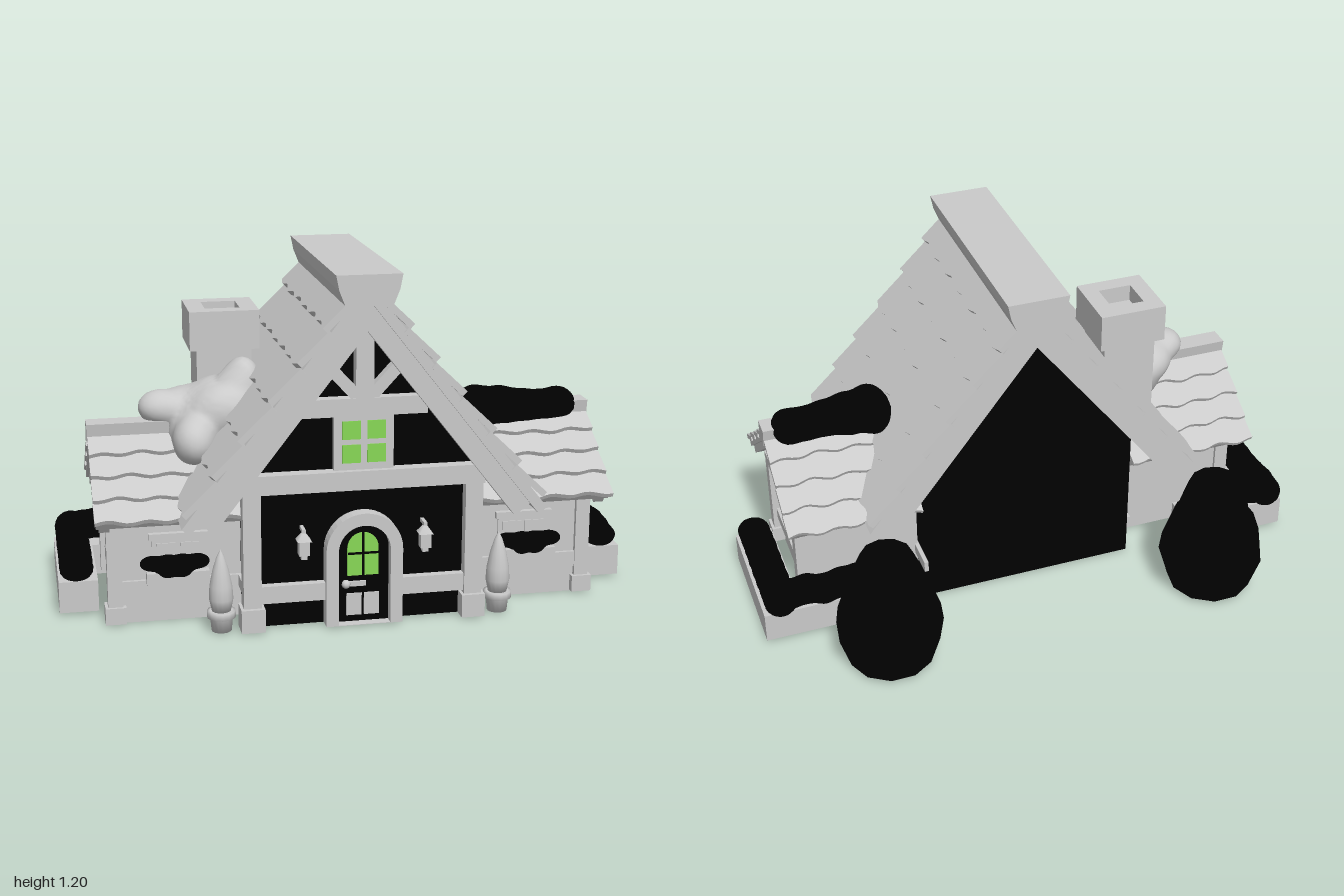
import * as THREE from 'three';
import { mergeVertices } from 'three/addons/utils/BufferGeometryUtils.js';

const V = (x, y, z) => new THREE.Vector3(x, y, z);

export function createModel() {
  const model = new THREE.Group();
  const mat = (name, color) => {
    const m = new THREE.MeshStandardMaterial({ color, side: THREE.DoubleSide });
    m.name = name;
    return m;
  };
  const stone = mat('pale grey', 0xcacaca);
  const black = mat('black', 0x010101);
  const green = mat('window green', 0x88d856);

  const add = (name, geo, material = stone) => {
    const mesh = new THREE.Mesh(geo, material);
    mesh.name = name;
    model.add(mesh);
    return mesh;
  };
  // Box given by its minimum and maximum along each axis
  const box = (name, x0, x1, y0, y1, z0, z1, material) => {
    const m = add(name, new THREE.BoxGeometry(Math.abs(x1 - x0), y1 - y0, z1 - z0), material);
    m.position.set((x0 + x1) / 2, (y0 + y1) / 2, (z0 + z1) / 2);
    return m;
  };
  // Drop the faces that lie flat on the lowest level of a mesh
  const openBottom = (mesh) => {
    const g = mesh.geometry.index ? mesh.geometry.toNonIndexed() : mesh.geometry.clone();
    g.computeBoundingBox();
    const p = g.attributes.position, low = g.boundingBox.min.y + 1e-5, keep = [];
    for (let i = 0; i < p.count; i += 3)
      if (p.getY(i) > low || p.getY(i + 1) > low || p.getY(i + 2) > low) keep.push(i, i + 1, i + 2);
    g.clearGroups();
    g.setIndex(keep);
    mesh.geometry = g;
  };
  const toShape = (pts) => new THREE.Shape(pts.map((p) => new THREE.Vector2(p[0], p[1])));
  const extrude = (shape, depth) =>
    new THREE.ExtrudeGeometry(shape, { depth, bevelEnabled: false, curveSegments: 10 });
  // Prism along z, or along x around the wing's centre line
  const WZ = 0.163;
  const prism = (name, shape, a, b, axis, material) => {
    const m = add(name, extrude(shape, b - a), material);
    if (axis === 'x') {
      m.rotation.y = Math.PI / 2;
      m.position.set(a, 0, WZ);
    } else m.position.z = a;
    return m;
  };
  // Gable band between two offsets below the roof line
  const chevron = (apex, slope, ex, d1, d2) => {
    const l = Math.hypot(1, slope), nx = slope / l, ny = 1 / l;
    const end = (d) => [ex - nx * d, apex - slope * ex - ny * d];
    const [ox, oy] = end(d1), [ix, iy] = end(d2);
    return toShape([[0, apex - d1 / ny], [-ox, oy], [-ix, iy], [0, apex - d2 / ny], [ix, iy], [ox, oy]]);
  };
  // Overlapping rows of tiles with wavy lower edges
  const tiles = (name, origin, up, normal, length, slopeLen, rows, lift, phase) => {
    const group = new THREE.Group();
    group.name = name;
    const right = V().crossVectors(up, normal);
    group.applyMatrix4(new THREE.Matrix4().makeBasis(right, up, normal).setPosition(origin));
    const h = slopeLen / rows, n = Math.round(length * 50);
    for (let r = 0; r < rows; r++) {
      const pts = [[length / 2, 0], [-length / 2, 0]];
      for (let i = 0; i <= n; i++) {
        const u = -length / 2 + (length * i) / n;
        pts.push([u, -h - 0.007 * Math.cos(u * 48 + r * 2.1 + phase) - 0.003 * Math.sin(u * 21 + r)]);
      }
      const row = new THREE.Mesh(extrude(toShape(pts), lift), stone);
      row.name = 'tileRow';
      row.position.set(0, -r * h, -lift);
      row.rotation.x = -Math.atan(lift / h);
      group.add(row);
    }
    model.add(group);
  };
  // Soft mass around blended ellipsoids [x, y, z, rx, ry, rz], found by marching inwards
  const mass = (name, list, material) => {
    const bounds = new THREE.Box3();
    for (const [x, y, z, a, b, c] of list) bounds.expandByPoint(V(x - a, y - b, z - c)).expandByPoint(V(x + a, y + b, z + c));
    const mid = bounds.getCenter(V()), half = bounds.getSize(V()).multiplyScalar(0.5);
    const inside = (p) => list.reduce((sum, [x, y, z, a, b, c]) =>
      sum + Math.exp(3 * (1 - ((p.x - x) / a) ** 2 - ((p.y - y) / b) ** 2 - ((p.z - z) / c) ** 2)), 0) > 1;
    let g = new THREE.IcosahedronGeometry(1, 12);
    g.deleteAttribute('normal');
    g.deleteAttribute('uv');
    g = mergeVertices(g);
    const pos = g.attributes.position;
    for (let i = 0; i < pos.count; i++) {
      const dir = V().fromBufferAttribute(pos, i).multiply(half), p = V();
      let t = 1.8;
      do p.copy(mid).addScaledVector(dir, t); while (!inside(p) && (t -= 0.01) > 0.05);
      pos.setXYZ(i, p.x, p.y, p.z);
    }
    g.computeVertexNormals();
    add(name, g, material);
  };
  // Straight timber between two points of a front facing plane
  const brace = (name, x0, y0, x1, y1, w, z0, z1) => {
    const m = add(name, new THREE.BoxGeometry(Math.hypot(x1 - x0, y1 - y0), w, z1 - z0));
    m.position.set((x0 + x1) / 2, (y0 + y1) / 2, (z0 + z1) / 2);
    m.rotation.z = Math.atan2(y1 - y0, x1 - x0);
  };

  // Main house body and roof
  const A = 1.18, K = 1.2816;
  openBottom(prism('houseBody', toShape([[-0.385, 0.01], [0.385, 0.01], [0.385, 0.587], [0, 1.08], [-0.385, 0.587]]), -0.165, 0.5, 'z', black));
  prism('roofDeck', chevron(A, K, 0.61, 0, 0.035), -0.235, 0.595, 'z');
  prism('frontBargeBoard', chevron(A, K, 0.583, 0.03, 0.1), 0.525, 0.58, 'z');
  prism('backBargeBoard', chevron(A, K, 0.583, 0.03, 0.1), -0.225, -0.17, 'z');
  prism('ridgeCap', toShape([[-0.078, 1.105], [0.078, 1.105], [0.098, 1.155], [0.108, 1.205], [-0.108, 1.205], [-0.098, 1.155]]), -0.24, 0.602, 'z');
  for (const s of [-1, 1])
    tiles('mainRoofTiles', V(s * 0.038, 1.146, 0.18), V(-s * 0.6154, 0.7882, 0), V(s * 0.7882, 0.6154, 0), 0.84, 0.905, 6, 0.022, s);

  // Front timber framing
  box('middleBeam', -0.41, 0.41, 0.48, 0.545, 0.48, 0.545);
  box('upperBeam', -0.21, 0.21, 0.73, 0.79, 0.48, 0.54);
  box('kingPost', -0.03, 0.03, 0.78, 1.04, 0.48, 0.54);
  for (const s of [-1, 1]) {
    brace('gableBrace', s * 0.02, 0.79, s * 0.14, 0.92, 0.04, 0.49, 0.535);
    box('frontPost', s * 0.345, s * 0.405, 0.08, 0.49, 0.485, 0.54);
    box('frontPostBase', s * 0.335, s * 0.415, 0.01, 0.09, 0.475, 0.555);
    box('lowBeam', s * 0.12, s * 0.35, 0.1, 0.16, 0.49, 0.53);
    box('sideLowBeam', s * 0.375, s * 0.4, 0.115, 0.155, -0.16, 0.5);
  }

  // Upper window
  box('upperWindowFrame', -0.1, 0.1, 0.545, 0.73, 0.49, 0.525);
  for (const x of [-0.042, 0.042]) for (const y of [0.6, 0.68])
    box('upperWindowPane', x - 0.031, x + 0.031, y - 0.031, y + 0.031, 0.52, 0.528, green);

  // Arched front door
  const arch = (r, y0, top) => {
    const s = new THREE.Shape();
    s.moveTo(r, y0);
    s.lineTo(r, top);
    s.absarc(0, top, r, 0, Math.PI, false);
    s.lineTo(-r, y0);
    return s;
  };
  const frame = arch(0.13, 0.01, 0.27);
  frame.holes.push(arch(0.088, 0.012, 0.27));
  prism('doorFrame', frame, 0.49, 0.55, 'z');
  prism('door', arch(0.088, 0.012, 0.27), 0.49, 0.515, 'z', black);
  for (const z of [0.484, 0.514]) prism('doorGlass', arch(0.053, 0.175, 0.272), z, z + 0.006, 'z', green);
  box('glassBarUpright', -0.004, 0.004, 0.175, 0.325, 0.517, 0.524, black);
  box('glassBarAcross', -0.052, 0.052, 0.25, 0.257, 0.517, 0.524, black);
  for (const x of [-0.03, 0.03]) box('doorPanel', x - 0.026, x + 0.026, 0.035, 0.112, 0.51, 0.52);
  box('doorHandle', -0.06, 0.01, 0.138, 0.155, 0.51, 0.524);
  add('doorKnob', new THREE.SphereGeometry(0.015, 10, 8)).position.set(-0.06, 0.15, 0.53);

  // Chimney with a hollow square cap
  box('chimneyStack', -0.495, -0.305, 0.55, 0.9, -0.085, 0.1);
  const cap = toShape([[-0.12, -0.118], [0.12, -0.118], [0.12, 0.118], [-0.12, 0.118]]);
  cap.holes.push(new THREE.Path([[-0.06, -0.06], [-0.06, 0.06], [0.06, 0.06], [0.06, -0.06]].map((p) => new THREE.Vector2(...p))));
  const capMesh = add('chimneyCap', extrude(cap, 0.135));
  capMesh.rotation.x = -Math.PI / 2;
  capMesh.position.set(-0.4, 0.875, 0.007);
  box('chimneyFloor', -0.47, -0.33, 0.88, 0.95, -0.06, 0.075);

  // Growth on the roofs
  mass('roofMound', [
    [-0.35, 0.76, 0.17, 0.07, 0.1, 0.08], [-0.42, 0.69, 0.14, 0.11, 0.1, 0.13],
    [-0.48, 0.64, 0.13, 0.11, 0.11, 0.15], [-0.53, 0.59, 0.15, 0.08, 0.085, 0.12],
    [-0.55, 0.67, 0.1, 0.09, 0.075, 0.1], [-0.63, 0.69, 0.14, 0.075, 0.06, 0.07],
    [-0.53, 0.6, 0.28, 0.07, 0.08, 0.085], [-0.41, 0.69, 0.23, 0.1, 0.08, 0.07]]);
  mass('roofBush', [
    [0.485, 0.64, 0.16, 0.07, 0.075, 0.12], [0.57, 0.64, 0.16, 0.075, 0.07, 0.095],
    [0.65, 0.635, 0.165, 0.08, 0.062, 0.075], [0.73, 0.63, 0.16, 0.075, 0.06, 0.068],
    [0.79, 0.64, 0.15, 0.058, 0.055, 0.08]], black);

  for (const s of [-1, 1]) {
    const span = (a, b) => (s > 0 ? [a, b] : [-b, -a]);
    // Side wing walls and roof
    openBottom(prism('wingBody', toShape([[-0.205, 0.005], [0.205, 0.005], [0.205, 0.41], [0, 0.57], [-0.205, 0.41]]), ...span(0.39, 0.805), 'x'));
    prism('wingRoofDeck', chevron(0.633, 0.754, 0.315, 0, 0.03), ...span(0.4, 0.875), 'x');
    prism('wingBargeBoard', chevron(0.633, 0.754, 0.31, 0.02, 0.058), ...span(0.83, 0.865), 'x');
    prism('wingRidgeCap', toShape([[-0.028, 0.59], [0.028, 0.59], [0.038, 0.655], [-0.038, 0.655]]), ...span(0.38, 0.882), 'x');
    for (const z of [-1, 1])
      tiles('wingRoofTiles', V(s * 0.64, 0.615, WZ + z * 0.025), V(0, 0.602, -z * 0.7984), V(0, 0.7984, z * 0.602), 0.48, 0.375, 4, 0.016, s + z);
    box('wingTieBeam', s * 0.79, s * 0.84, 0.36, 0.39, -0.06, 0.39);
    box('wingKingPost', s * 0.79, s * 0.835, 0.38, 0.58, WZ - 0.022, WZ + 0.022);
    for (const z of [-0.03, 0.36]) {
      box('wingPost', s * 0.79, s * 0.84, 0.06, 0.385, z - 0.024, z + 0.024);
      if (z > 0) box('wingPostBase', s * 0.78, s * 0.85, 0.01, 0.068, z - 0.034, z + 0.034);
    }
    box('wingEndBeam', s * 0.8, s * 0.825, 0.115, 0.155, -0.03, 0.36);
    box('wingFrontBeam', s * 0.4, s * 0.8, 0.1, 0.155, 0.36, 0.38);

    // End window
    box('endWindowFrame', s * 0.8, s * 0.818, 0.17, 0.29, 0.115, 0.21);
    box('endWindowLintel', s * 0.8, s * 0.83, 0.283, 0.3, 0.1, 0.226);
    for (const y of [0.18, 0.236]) box('endWindowPane', s * 0.813, s * 0.821, y, y + 0.045, 0.13, 0.195, green);

    // Front wing window with its flower box
    box('wingWindowFrame', s * 0.51, s * 0.69, 0.16, 0.295, 0.36, 0.376);
    box('wingWindowLintel', s * 0.5, s * 0.7, 0.295, 0.318, 0.36, 0.388);
    for (const x of [0.56, 0.64]) box('wingWindowPane', s * (x - 0.034), s * (x + 0.034), 0.19, 0.282, 0.371, 0.38);
    box('flowerBox', s * 0.5, s * 0.71, 0.145, 0.185, 0.36, 0.405);
    mass('flowerBoxPlants', [0.54, 0.59, 0.64, 0.69].map((x, i) => [s * x, i % 3 ? 0.203 : 0.217, 0.39, 0.042, i % 3 ? 0.042 : 0.026, 0.028]), black);

    // Corner planter and hedge
    openBottom(box('planterSide', s * 0.865, s * 0.998, 0.015, 0.125, -0.215, 0.265));
    openBottom(box('planterBack', s * 0.6, s * 0.865, 0.015, 0.125, -0.215, -0.1));
    const tops = [0.018, 0.03, 0.036, 0.03, 0.028, 0.034, 0.045, 0.038];
    mass('sideHedge', tops.map((t, i) => [s * 0.935, 0.15 + t * 0.5, 0.232 - i * 0.062, 0.058, 0.028 + t * 0.75, 0.055]), black);
    mass('backHedge', [0, 1, 2, 3, 4].map((i) => [s * (0.9 - i * 0.062), 0.175 + 0.01 * Math.sin(i * 2.2), -0.185, 0.055, 0.056, 0.05]), black);

    // Round bush behind the house
    const bush = [[0, 0.02], [0.15, 0.02], [0.187, 0.14], [0.178, 0.21], [0.152, 0.285], [0.13, 0.315], [0.122, 0.36], [0.11, 0.4], [0.09, 0.447], [0.045, 0.466], [0, 0.468]];
    const bushMesh = add('backBush', new THREE.LatheGeometry(bush.map((p) => new THREE.Vector2(...p)), 11), black);
    bushMesh.position.set(s * 0.605, 0, -0.42);

    // Potted cypress
    const lathe = (name, pts, n) => add(name, new THREE.LatheGeometry(pts.map((p) => new THREE.Vector2(...p)), n)).position.set(s * 0.475, 0, 0.497);
    lathe('pot', [[0, 0.008], [0.034, 0.008], [0.038, 0.055], [0.048, 0.055], [0.048, 0.078], [0.038, 0.078], [0, 0.075]], 14);
    lathe('cypress', [[0, 0.075], [0.032, 0.078], [0.041, 0.12], [0.038, 0.165], [0.027, 0.22], [0.013, 0.265], [0, 0.29]], 14);

    // Wall lantern
    box('lanternBody', s * 0.187, s * 0.223, 0.27, 0.32, 0.527, 0.563);
    const hood = add('lanternHood', new THREE.ConeGeometry(0.034, 0.035, 4));
    hood.position.set(s * 0.205, 0.337, 0.545);
    hood.rotation.y = Math.PI / 4;
    box('lanternFoot', s * 0.195, s * 0.215, 0.255, 0.272, 0.535, 0.555);
    box('lanternBracket', s * 0.199, s * 0.211, 0.345, 0.357, 0.495, 0.551);
  }
  return model;
}
